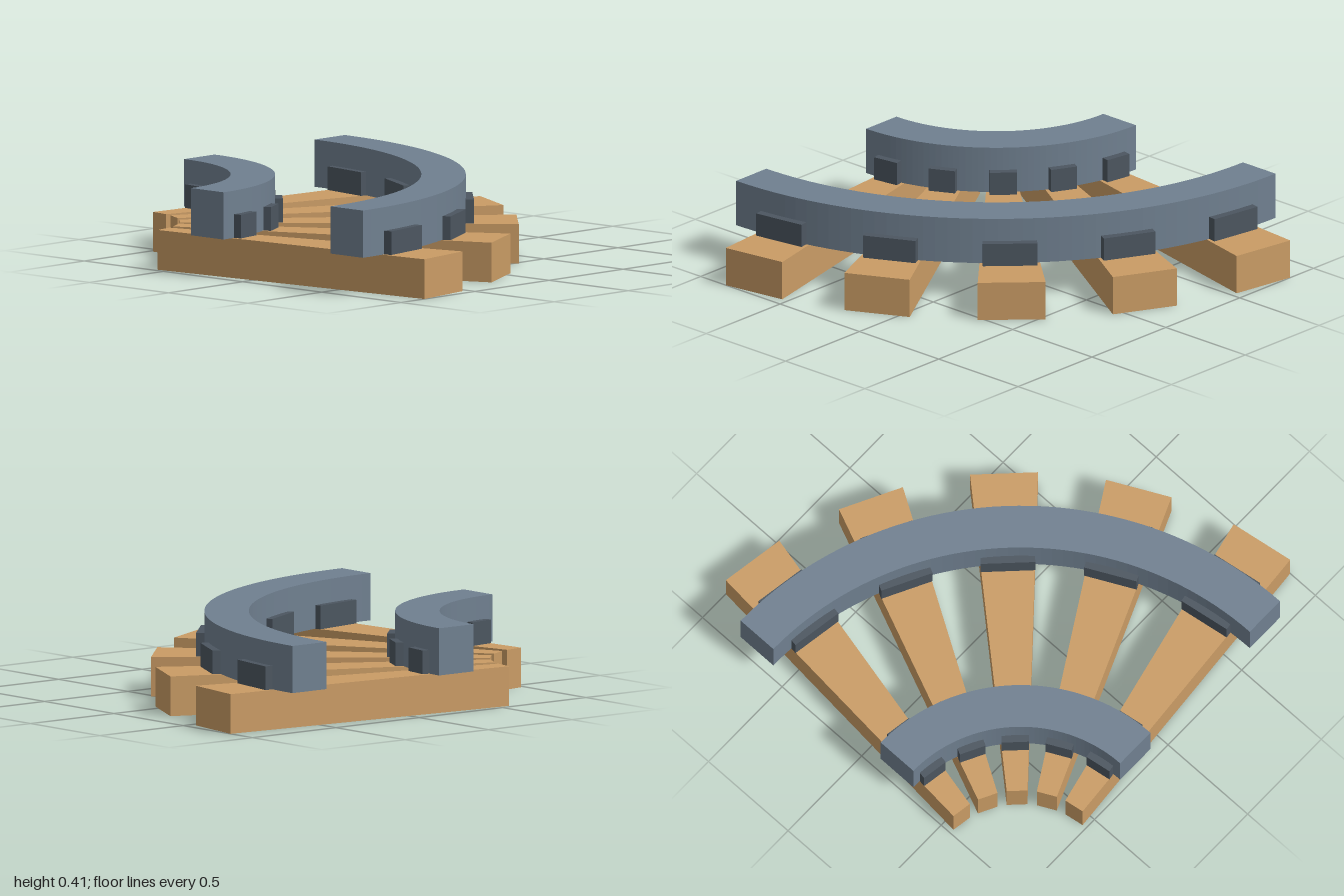
import * as THREE from 'three';

const steel = new THREE.MeshStandardMaterial({ color: 0x708090 });
steel.name = 'rail steel';
const iron = new THREE.MeshStandardMaterial({ color: 0x4c5660 });
iron.name = 'chair iron';
const wood = new THREE.MeshStandardMaterial({ color: 0xca9c65 });
wood.name = 'sleeper wood';

const SLEEPER_TOP = 0.185;
const RAIL_HEIGHT = 0.22;
const CHAIR_HEIGHT = 0.11;

// Extrudes a plan outline upwards (plan y becomes -z)
function slab(shape, height, curveSegments = 1) {
  return new THREE.ExtrudeGeometry(shape, { depth: height, bevelEnabled: false, curveSegments })
    .rotateX(-Math.PI / 2);
}

function addMesh(parent, name, geometry, material, y = 0) {
  const mesh = new THREE.Mesh(geometry, material);
  mesh.name = name;
  mesh.position.y = y;
  parent.add(mesh);
  return mesh;
}

// Quarter-ring rail between two radii
function railGeometry(inner, outer) {
  const shape = new THREE.Shape();
  shape.absarc(0, 0, outer, 0, Math.PI / 2, false);
  shape.absarc(0, 0, inner, Math.PI / 2, 0, true);
  return slab(shape, RAIL_HEIGHT, 24);
}

export function createModel() {
  const model = new THREE.Group();
  model.name = 'curvedTrack';

  // Everything turns about the centre of the curve
  const track = new THREE.Group();
  track.name = 'track';
  track.position.set(-1, 0, 1);
  model.add(track);

  const rails = [
    { name: 'innerRail', inner: 0.675, outer: 0.88, chairWidth: 0.127 },
    { name: 'outerRail', inner: 1.555, outer: 1.76, chairWidth: 0.252 },
  ];
  for (const r of rails) addMesh(track, r.name, railGeometry(r.inner, r.outer), steel, SLEEPER_TOP);

  // Tapered sleeper, narrow towards the centre of the curve
  const sleeper = slab(new THREE.Shape([
    new THREE.Vector2(0.441, -0.048), new THREE.Vector2(2.0, -0.157),
    new THREE.Vector2(2.0, 0.157), new THREE.Vector2(0.441, 0.048),
  ]), SLEEPER_TOP);

  for (let i = 0; i < 5; i++) {
    const tie = new THREE.Group();
    tie.name = 'tie' + (i + 1);
    tie.rotation.y = THREE.MathUtils.degToRad(9 + 18 * i);
    track.add(tie);
    addMesh(tie, 'sleeper', sleeper, wood);

    // Chair blocks gripping both sides of each rail
    for (const r of rails) {
      const block = new THREE.BoxGeometry(0.07, CHAIR_HEIGHT, r.chairWidth);
      for (const x of [r.inner, r.outer]) {
        addMesh(tie, 'railChair', block, iron, SLEEPER_TOP + CHAIR_HEIGHT / 2).position.x = x;
      }
    }
  }
  return model;
}
